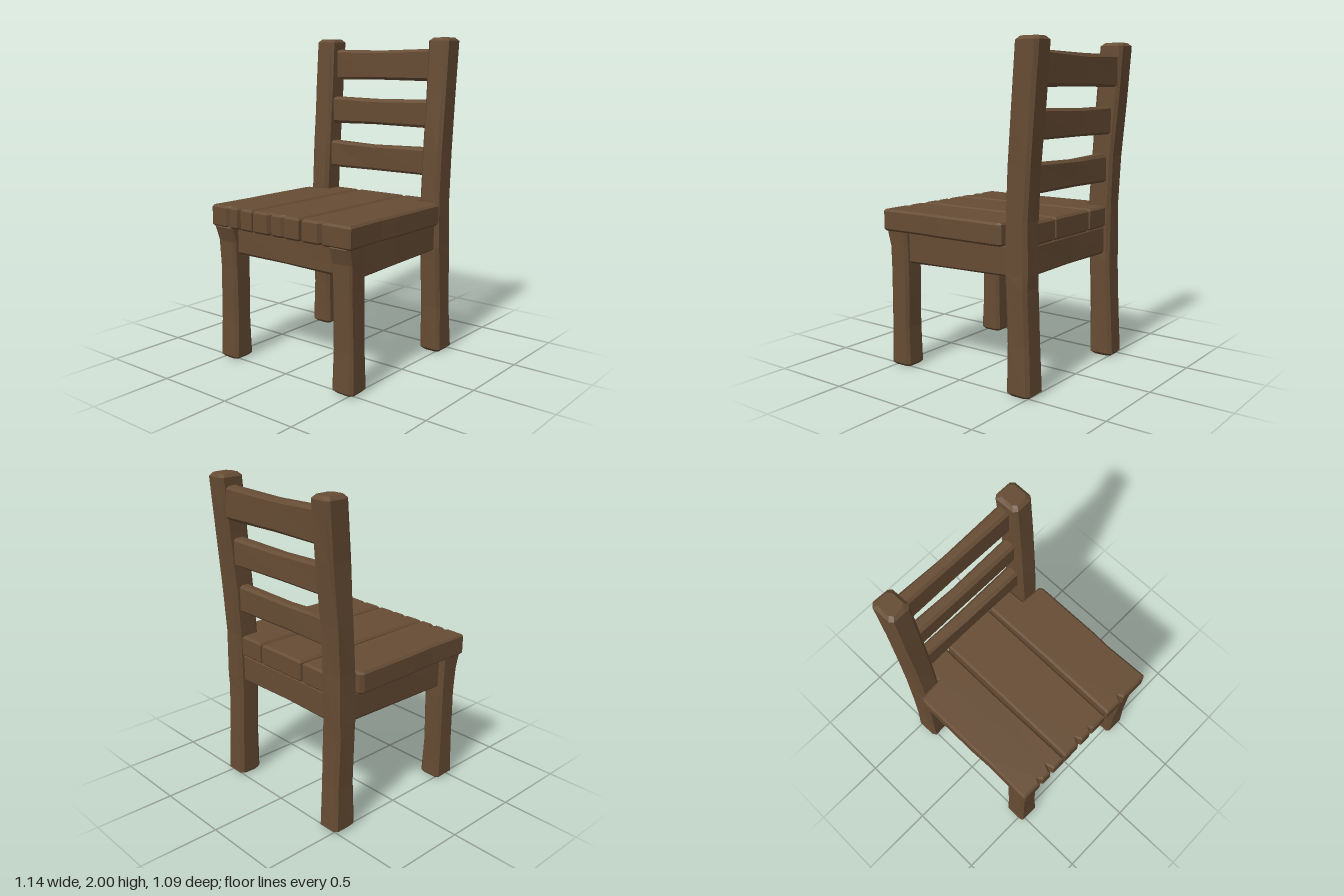
import * as THREE from 'three';

const wood = new THREE.MeshStandardMaterial({ color: 0x664c34, flatShading: true });
wood.name = 'brown wood';

// Small seeded random, for the hand-hewn unevenness
let seed = 7;
const rough = (amount) => {
  seed = (seed * 16807) % 2147483647;
  return (seed / 2147483647 - 0.5) * 2 * amount;
};

// Chamfered beam lofted along an axis. Each section is [t, aMin, aMax, bMin, bMax];
// (a, b) is (x, z) for axis y, (x, y) for axis z and (y, z) for axis x.
function beam(name, axis, sections, c = 0.016) {
  const first = sections[0], last = sections[sections.length - 1];
  const inset = ([t, a0, a1, b0, b1]) => [t, a0 + c, a1 - c, b0 + c, b1 - c];
  const shift = (s, d) => [s[0] + d, ...s.slice(1)];
  const all = [inset(first), shift(first, c), ...sections.slice(1, -1), shift(last, -c), inset(last)];
  const place = {
    x: (t, a, b) => [t, a, b],
    y: (t, a, b) => [a, t, b],
    z: (t, a, b) => [a, b, t],
  }[axis];

  const rings = all.map(([t, a0, a1, b0, b1]) => [
    [a1, b0 + c], [a1, b1 - c], [a1 - c, b1], [a0 + c, b1],
    [a0, b1 - c], [a0, b0 + c], [a0 + c, b0], [a1 - c, b0],
  ].map(([a, b]) => place(t, a + rough(0.003), b + rough(0.003))));

  const pos = [];
  const tri = (p, q, r) => pos.push(...p, ...(axis === 'y' ? [...q, ...r] : [...r, ...q]));
  for (let k = 0; k < rings.length - 1; k++) {
    for (let i = 0; i < 8; i++) {
      const j = (i + 1) % 8, lo = rings[k], hi = rings[k + 1];
      tri(lo[i], hi[i], hi[j]);
      tri(lo[i], hi[j], lo[j]);
    }
  }
  const bottom = rings[0], top = rings[rings.length - 1];
  for (let i = 1; i < 7; i++) {
    tri(bottom[0], bottom[i], bottom[i + 1]);
    tri(top[0], top[i + 1], top[i]);
  }
  const g = new THREE.BufferGeometry();
  g.setAttribute('position', new THREE.Float32BufferAttribute(pos, 3));
  g.computeVertexNormals();
  const mesh = new THREE.Mesh(g, wood);
  mesh.name = name;
  return mesh;
}

// Seat plank from an outline of [x, z] points, with bevelled edges
function plank(name, outline) {
  const bevel = 0.013;
  const shape = new THREE.Shape(outline.map(([x, z]) => new THREE.Vector2(x, -z)));
  const g = new THREE.ExtrudeGeometry(shape, {
    depth: 0.135 - 2 * bevel, bevelEnabled: true, bevelSegments: 1,
    bevelSize: bevel, bevelThickness: bevel, bevelOffset: -bevel,
  });
  g.rotateX(-Math.PI / 2);
  g.translate(0, 0.852 + bevel, 0);
  const mesh = new THREE.Mesh(g, wood);
  mesh.name = name;
  return mesh;
}

// V-shaped split in the front edge of a plank
const split = (z, depth, half) => [[-0.57, z - half], [-0.57 + depth, z], [-0.57, z + half]];

export function createModel() {
  const chair = new THREE.Group();
  chair.name = 'chair';

  // Seat planks: the outer two are cut around the back posts
  const outer = (s, splits) => [
    [-0.57, 0.197 * s], ...splits, [-0.57, 0.535 * s], [-0.56, 0.545 * s],
    [-0.27, 0.537 * s], [-0.12, 0.543 * s], [0.31, 0.543 * s], [0.335, 0.53 * s],
    [0.345, 0.385 * s], [0.47, 0.38 * s], [0.47, 0.197 * s], [0, 0.201 * s],
  ];
  chair.add(
    plank('leftSeatPlank', outer(1, split(0.33, 0.03, 0.018))),
    plank('rightSeatPlank', outer(-1, [...split(-0.305, 0.05, 0.016), ...split(-0.4, 0.025, 0.018).reverse()]
      .sort((p, q) => q[1] - p[1]))),
    plank('middleSeatPlank', [
      [-0.57, -0.185], ...split(-0.055, 0.035, 0.018), ...split(0.05, 0.02, 0.015),
      [-0.57, 0.175], [0, 0.18], [0.47, 0.182], [0.47, -0.178], [0, -0.18],
    ]),
  );

  for (const s of [1, -1]) {
    const side = s > 0 ? 'left' : 'right';
    const span = (a, b) => (s > 0 ? [a, b] : [-b, -a]);

    // Back posts lean backwards above the seat
    chair.add(beam(side + 'BackPost', 'y', [
      [0, 0.36, 0.522, ...span(0.382, 0.533)],
      [0.3, 0.362, 0.51, ...span(0.384, 0.526)],
      [0.62, 0.348, 0.495, ...span(0.382, 0.526)],
      [0.7, 0.34, 0.497, ...span(0.382, 0.524)],
      [1.0, 0.341, 0.496, ...span(0.38, 0.522)],
      [1.3, 0.357, 0.51, ...span(0.38, 0.521)],
      [1.65, 0.383, 0.54, ...span(0.38, 0.521)],
      [2, 0.405, 0.567, ...span(0.38, 0.522)],
    ], 0.02));

    // Front legs flare forwards under the seat
    chair.add(beam(side + 'FrontLeg', 'y', [
      [0, -0.54, -0.387, ...span(0.383, 0.533)],
      [0.25, -0.532, -0.396, ...span(0.386, 0.528)],
      [0.6, -0.535, -0.392, ...span(0.386, 0.526)],
      [0.76, -0.54, -0.397, ...span(0.384, 0.527)],
      [0.87, -0.565, -0.397, ...span(0.384, 0.53)],
    ], 0.018));

    // Side rails
    chair.add(beam(side + 'Rail', 'x', [
      [-0.45, 0.655, 0.86, ...span(0.405, 0.495)],
      [-0.1, 0.664, 0.86, ...span(0.408, 0.498)],
      [0.4, 0.676, 0.86, ...span(0.405, 0.495)],
    ]));
  }

  // Front and back rails
  const rail = (name, x0, x1) => beam(name, 'z', [
    [-0.42, x0, x1, 0.677, 0.86], [0, x0, x1 - 0.004, 0.68, 0.86], [0.42, x0, x1, 0.674, 0.86],
  ]);
  chair.add(rail('frontRail', -0.502, -0.405), rail('backRail', 0.355, 0.462));

  // Three back slats, stepping backwards with the posts
  [['lowerSlat', 0.39, 1.138, 1.315], ['middleSlat', 0.415, 1.437, 1.615], ['upperSlat', 0.455, 1.73, 1.93]]
    .forEach(([name, x, y0, y1]) => chair.add(beam(name, 'z', [
      [-0.42, x, x + 0.082, y0, y1],
      [-0.05, x + 0.002, x + 0.078, y0 + 0.004, y1 - 0.008],
      [0.42, x, x + 0.082, y0 + 0.003, y1],
    ])));

  return chair;
}
